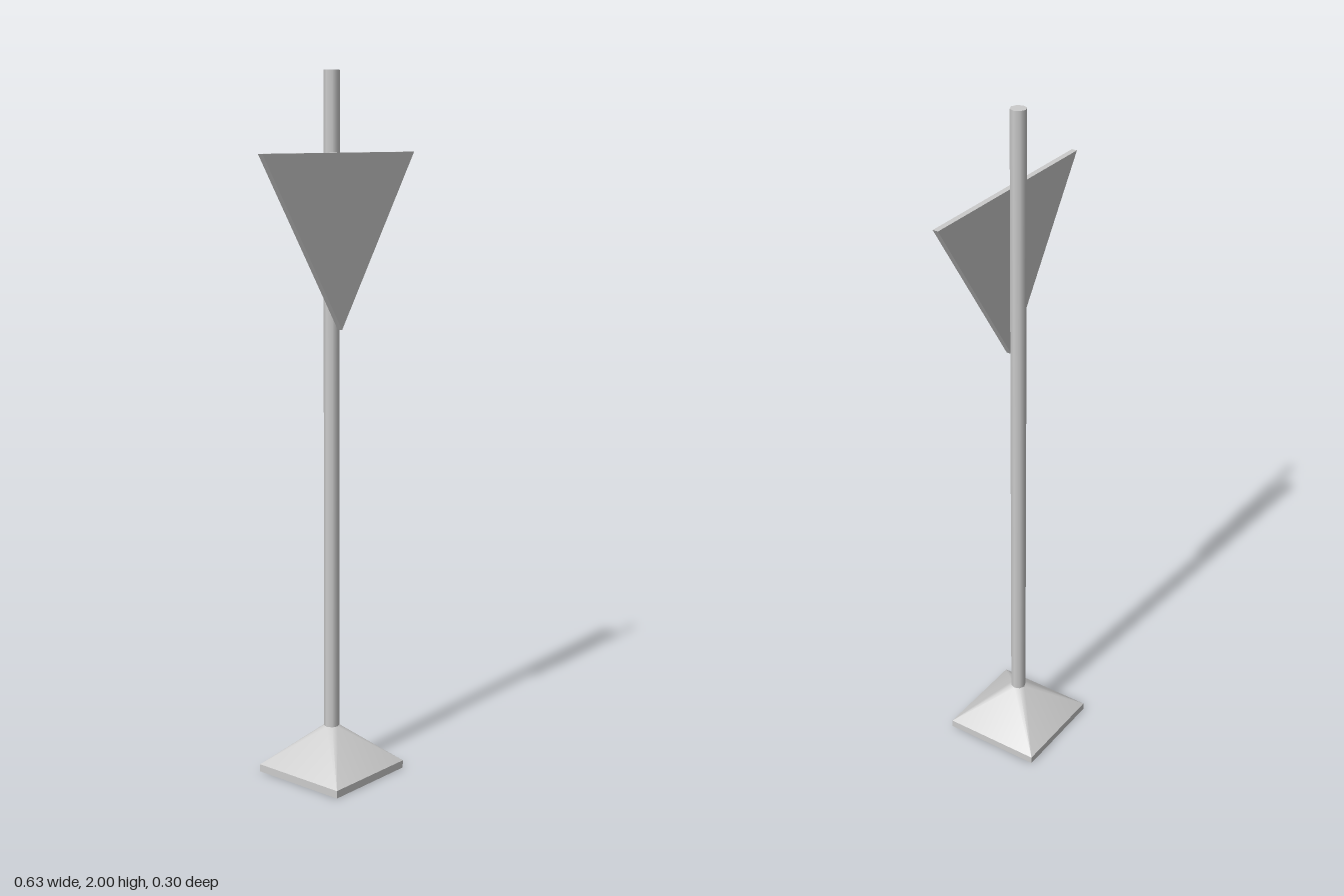
import * as THREE from 'three';
import { toCreasedNormals } from 'three/addons/utils/BufferGeometryUtils.js';

const POLE_RADIUS = 0.0223;
const BASE_TOP = 0.138;
const LIP = 0.022;
const HALF = 0.148;

// Hollow foot: a square lip rising to the octagonal pole, open underneath
function footGeometry() {
  const pts = [];
  const tri = (...corners) => corners.forEach((p) => pts.push(...p));
  const ring = (k) => {
    const a = (k * Math.PI) / 4;
    return [POLE_RADIUS * Math.sin(a), BASE_TOP, POLE_RADIUS * Math.cos(a)];
  };
  const corner = (j, y) => {
    const a = Math.PI / 4 + (j * Math.PI) / 2;
    const r = HALF * Math.SQRT2;
    return [r * Math.sin(a), y, r * Math.cos(a)];
  };
  for (let j = 0; j < 4; j++) {
    const b0 = corner(j - 1, 0), b1 = corner(j, 0);
    const c0 = corner(j - 1, LIP), c1 = corner(j, LIP);
    // lip side
    tri(b0, b1, c1);
    tri(b0, c1, c0);
    // sloping side and the narrow wedges along the ridge
    tri(c0, c1, ring(2 * j));
    tri(c1, ring(2 * j + 1), ring(2 * j));
    tri(c1, ring(2 * j + 2), ring(2 * j + 1));
  }
  const geometry = new THREE.BufferGeometry();
  geometry.setAttribute('position', new THREE.Float32BufferAttribute(pts, 3));
  return toCreasedNormals(geometry, 0.6);
}

export function createModel() {
  const model = new THREE.Group();
  model.name = 'signPost';
  const grey = new THREE.MeshStandardMaterial({ color: 0xcccccc });
  const greyOpen = new THREE.MeshStandardMaterial({ color: 0xcccccc, side: THREE.DoubleSide });

  const add = (name, geometry, material = grey) => {
    const mesh = new THREE.Mesh(geometry, material);
    mesh.name = name;
    model.add(mesh);
    return mesh;
  };

  add('foot', footGeometry(), greyOpen);

  // Eight-sided pole
  const height = 2 - BASE_TOP;
  add('pole', new THREE.CylinderGeometry(POLE_RADIUS, POLE_RADIUS, height, 8))
    .position.y = BASE_TOP + height / 2;

  // Triangular plate, point down, on the front of the pole
  const triangle = new THREE.Shape([
    new THREE.Vector2(0, 1.297),
    new THREE.Vector2(0.315, 1.78),
    new THREE.Vector2(-0.315, 1.78),
  ]);
  add('signPlate', new THREE.ExtrudeGeometry(triangle, { depth: 0.016, bevelEnabled: false }))
    .position.z = 0.0223;

  return model;
}
